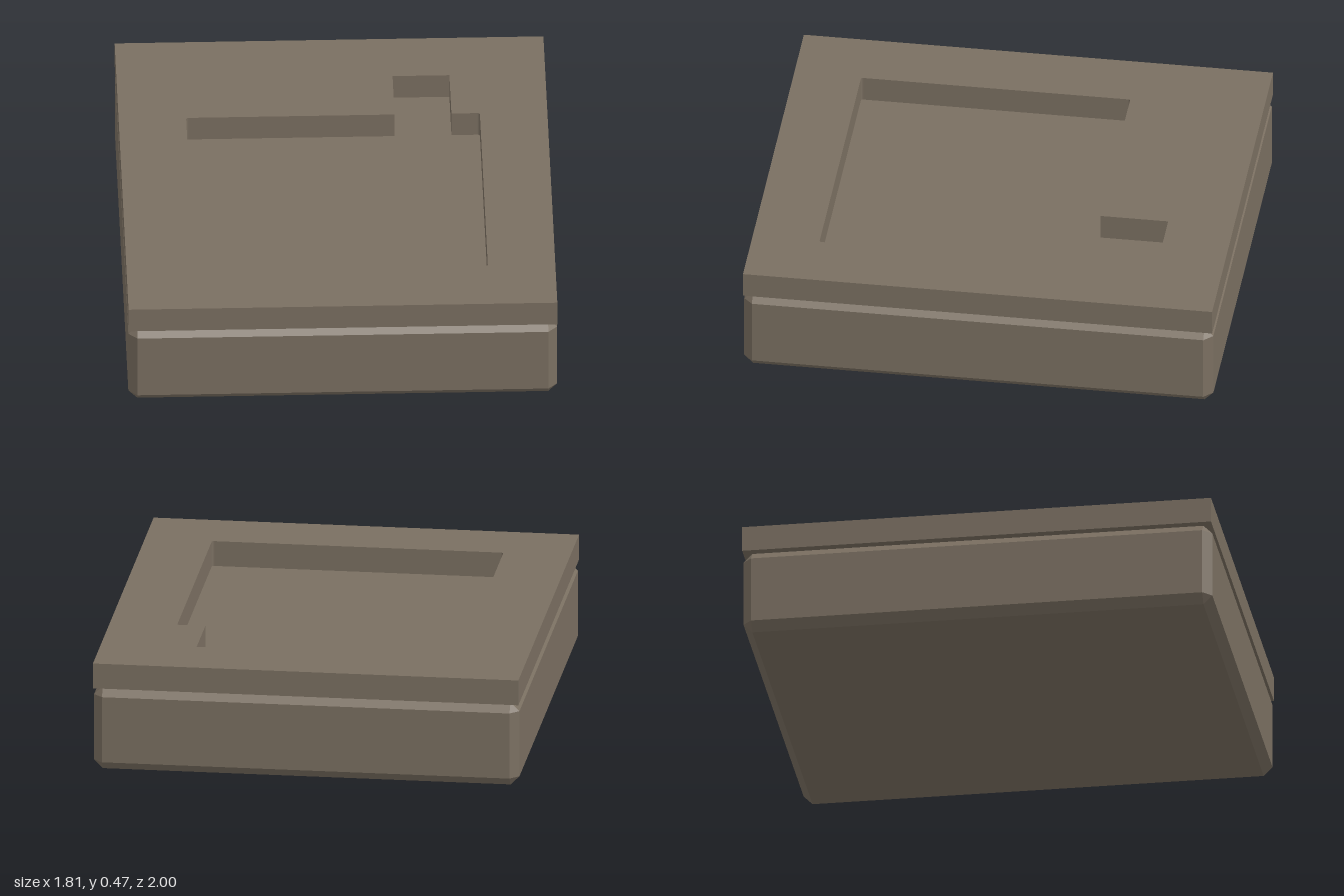
import * as THREE from 'three';
import { ConvexGeometry } from 'three/addons/geometries/ConvexGeometry.js';

const HALF_X = 0.905, HALF_Z = 1, BODY_H = 0.365, TOP = 0.475, CHAMFER = 0.038;

// Box with every edge cut at 45 degrees: three points near each corner
function chamferedBox(hx, hy, hz, c) {
  const points = [];
  for (const sx of [-1, 1]) for (const sy of [-1, 1]) for (const sz of [-1, 1]) {
    points.push(
      new THREE.Vector3(sx * hx, sy * (hy - c), sz * (hz - c)),
      new THREE.Vector3(sx * (hx - c), sy * hy, sz * (hz - c)),
      new THREE.Vector3(sx * (hx - c), sy * (hy - c), sz * hz)
    );
  }
  return new ConvexGeometry(points);
}

// Pocket outline (shape y = -z): slightly rounded rectangle with a notch at the back
function pocketOutline() {
  const l = -0.62, r = 0.62, front = -0.715, back = 0.432, q = 0.01;
  const p = new THREE.Path();
  p.moveTo(l + q, front);
  p.lineTo(r - q, front);
  p.quadraticCurveTo(r, front, r, front + q);
  p.lineTo(r, back - q);
  p.quadraticCurveTo(r, back, r - q, back);
  p.lineTo(0.5, back);
  p.lineTo(0.5, 0.72);
  p.lineTo(0.26, 0.72);
  p.lineTo(0.26, back);
  p.lineTo(l + q, back);
  p.quadraticCurveTo(l, back, l, back - q);
  p.lineTo(l, front + q);
  p.quadraticCurveTo(l, front, l + q, front);
  return p;
}

export function createModel() {
  const group = new THREE.Group();
  const stone = new THREE.MeshStandardMaterial({ color: 0x7a6f61 });
  stone.name = 'warm grey';

  // Chamfered block; its top is the pocket floor
  const body = new THREE.Mesh(chamferedBox(HALF_X, BODY_H / 2, HALF_Z, CHAMFER), stone);
  body.name = 'body';
  body.position.y = BODY_H / 2;
  group.add(body);

  // Square-edged top frame cut through by the pocket
  const outline = new THREE.Shape([
    new THREE.Vector2(-HALF_X, -HALF_Z), new THREE.Vector2(HALF_X, -HALF_Z),
    new THREE.Vector2(HALF_X, HALF_Z), new THREE.Vector2(-HALF_X, HALF_Z)
  ]);
  outline.holes.push(pocketOutline());
  const frameGeometry = new THREE.ExtrudeGeometry(outline, {
    depth: TOP - BODY_H, bevelEnabled: false, curveSegments: 4
  });
  frameGeometry.rotateX(-Math.PI / 2);
  const frame = new THREE.Mesh(frameGeometry, stone);
  frame.name = 'topFrame';
  frame.position.y = BODY_H;
  group.add(frame);

  return group;
}
